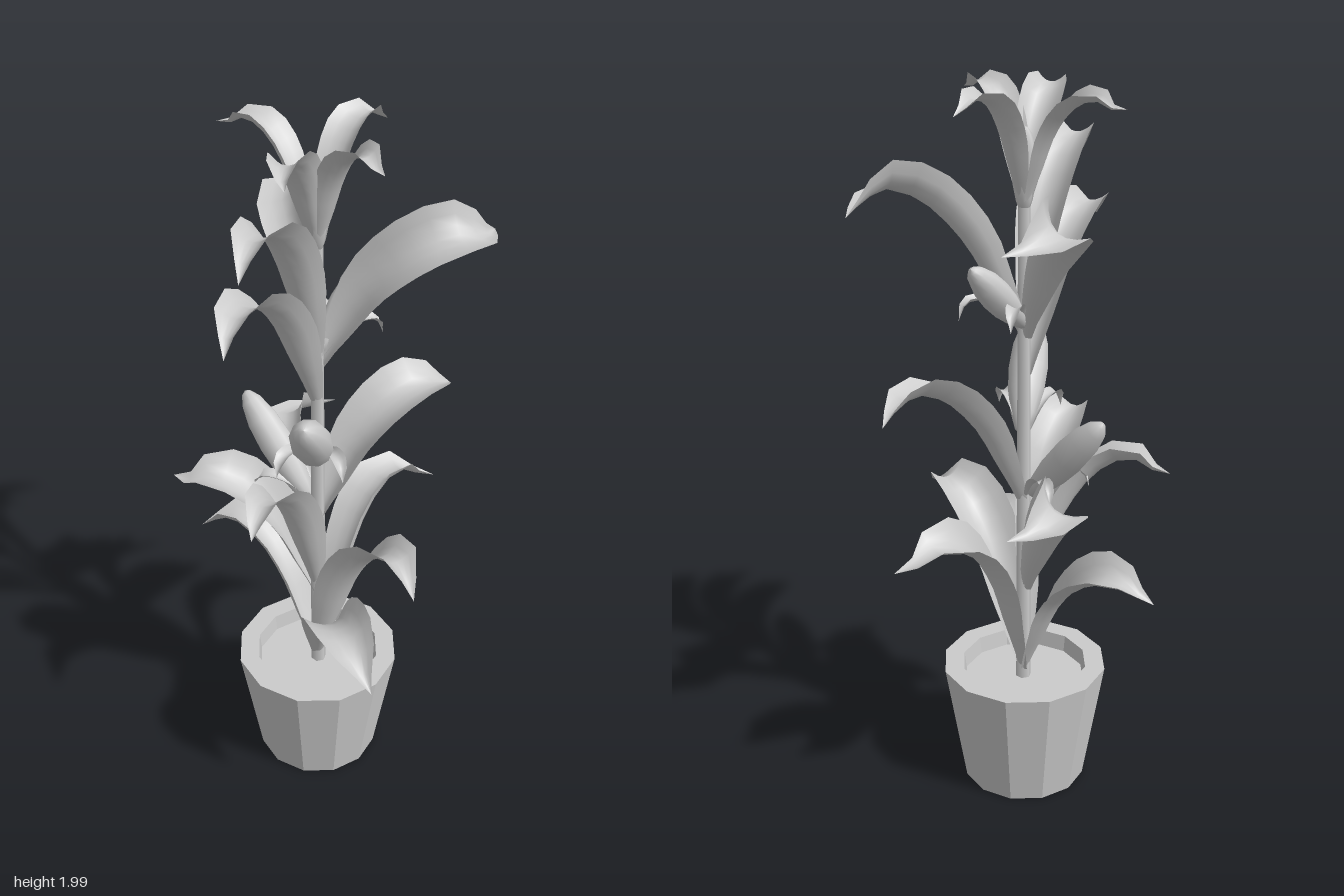
import * as THREE from 'three';

const grey = new THREE.MeshStandardMaterial({ color: 0xcccccc });
const flat = new THREE.MeshStandardMaterial({ color: 0xcccccc, flatShading: true, side: THREE.DoubleSide });
const thin = new THREE.MeshStandardMaterial({ color: 0xcccccc, side: THREE.DoubleSide });
const AX = -0.016, AZ = -0.012; // stem axis

function add(parent, name, geometry, material) {
  const mesh = new THREE.Mesh(geometry, material);
  mesh.name = name;
  parent.add(mesh);
  return mesh;
}

// Trough-shaped leaf: rises from the stem, arches over and droops to a pointed tip.
// Midrib points are [reach, height, sideways sweep]; a swept leaf also rolls about its base-to-tip line.
const RIB = [[0, 0, 0], [0.06, 0.15, 0.04], [0.15, 0.35, 0.16], [0.29, 0.66, 0.42], [0.5, 0.91, 0.84], [0.72, 1, 1], [0.88, 0.93, 0.65]];
const WIDTHS = [0.25, 0.4, 0.55, 0.68, 0.8, 0.88, 0.94, 0.98, 1, 0.94, 0.68, 0.28, 0];

function leafGeometry(reach, height, droop, halfWidth, sweep, roll) {
  const points = RIB.map(([r, y, z]) => new THREE.Vector3(0.012 + r * (reach - 0.012), y * height, z * sweep));
  points.push(new THREE.Vector3(reach, height - droop, 0));
  const rib = new THREE.CatmullRomCurve3(points);
  const chord = new THREE.Vector3(reach, height - droop, 0).normalize();
  const across = 6, positions = [], index = [];
  WIDTHS.forEach((width, i) => {
    const u = i / (WIDTHS.length - 1);
    const t = rib.getTangentAt(u);
    const lean = new THREE.Vector3(-t.y, t.x, 0).applyAxisAngle(chord, roll);
    const side = t.clone().cross(lean).normalize();
    const up = side.clone().cross(t);
    for (let j = 0; j <= across; j++) {
      const s = (j / across) * 2 - 1;
      const p = rib.getPointAt(u)
        .addScaledVector(side, s * halfWidth * width)
        .addScaledVector(up, s * s * halfWidth * width * 0.62);
      positions.push(p.x, p.y, p.z);
      if (i > 0 && j > 0) {
        const d = i * (across + 1) + j, c = d - 1, b = d - across - 1, a = b - 1;
        index.push(a, b, d, a, d, c);
      }
    }
  });
  const geometry = new THREE.BufferGeometry();
  geometry.setAttribute('position', new THREE.Float32BufferAttribute(positions, 3));
  geometry.setIndex(index);
  geometry.computeVertexNormals();
  return geometry;
}

function addLeaf(parent, name, [tipX, tipZ, base, peak, tipY, halfWidth, sweep]) {
  const dx = tipX - AX, dz = tipZ - AZ;
  const roll = sweep * 7;
  const height = peak - halfWidth * (0.55 + 0.4 * Math.abs(Math.sin(roll))) - base;
  const droop = base + height - tipY;
  const leaf = add(parent, name, leafGeometry(Math.hypot(dx, dz), height, droop, halfWidth, sweep, roll), thin);
  leaf.position.set(AX, base, AZ);
  leaf.rotation.y = Math.atan2(-dz, dx);
}

// Closed spindle-shaped bud between two points
function addBud(parent, name, from, to, radius, sides) {
  const a = new THREE.Vector3(...from), dir = new THREE.Vector3(...to).sub(a);
  const length = dir.length();
  const profile = [[0, 0], [0.35, 0.03], [0.65, 0.16], [0.92, 0.36], [1, 0.55], [0.9, 0.75], [0.6, 0.91], [0.28, 0.98], [0, 1]]
    .map(([r, y]) => new THREE.Vector2(r * radius, y * length));
  const bud = add(parent, name, new THREE.LatheGeometry(profile, sides), grey);
  bud.position.copy(a);
  bud.quaternion.setFromUnitVectors(new THREE.Vector3(0, 1, 0), dir.normalize());
}

// tip x, tip z, base y, peak y, tip y, half width, sideways sweep
const LEAVES = [
  // lowest ring
  [0.418, 0.043, 0.34, 0.89, 0.785, 0.08, -0.045],
  [-0.054, 0.375, 0.36, 0.905, 0.8, 0.082, -0.03],
  [-0.24, 0.4, 0.34, 0.74, 0.61, 0.08, 0.025],
  [-0.106, -0.404, 0.34, 0.755, 0.65, 0.08, 0.03],
  // lower middle
  [-0.36, 0.09, 0.6, 1.1, 1.02, 0.07, 0.02],
  [-0.26, -0.325, 0.58, 1.04, 0.96, 0.08, -0.035],
  [0.325, -0.27, 0.6, 1.04, 0.95, 0.075, -0.11],
  [0.38, 0.108, 0.86, 1.265, 1.16, 0.078, 0.04],
  // upper middle
  [-0.418, 0.086, 1.23, 1.685, 1.58, 0.07, 0.025],
  [-0.38, 0.104, 1.37, 1.865, 1.765, 0.07, 0.015],
  [0.363, 0.233, 1.35, 1.785, 1.675, 0.076, 0.1],
  [0.33, -0.26, 1.34, 1.755, 1.66, 0.075, -0.115],
  // crown
  [-0.235, 0.104, 1.68, 1.995, 1.935, 0.053, 0.02],
  [0.232, -0.014, 1.68, 1.995, 1.93, 0.053, -0.01],
  [-0.047, 0.228, 1.68, 2, 1.95, 0.053, 0],
  [-0.083, -0.28, 1.68, 1.99, 1.94, 0.053, 0.02],
];

// base and tip of each side bud
const BUDS = [
  [[-0.01, 1.37, -0.02], [0.19, 1.56, -0.025], 0.042],
  [[-0.02, 1.06, 0], [-0.22, 1.315, 0.14], 0.054],
  [[-0.02, 0.89, -0.03], [-0.035, 1.155, -0.27], 0.048],
];

export function createModel() {
  const model = new THREE.Group();
  model.name = 'pottedPlant';

  // Twelve-sided tapered pot with a thick rim
  const potProfile = [[0, 0], [0.175, 0], [0.234, 0.36], [0.178, 0.36], [0.172, 0.31]]
    .map(([r, y]) => new THREE.Vector2(r, y));
  const pot = add(model, 'pot', new THREE.LatheGeometry(potProfile, 12), flat);
  pot.position.set(-0.02, 0, AZ);

  const soil = add(model, 'soil', new THREE.CircleGeometry(0.173, 12), grey);
  soil.rotation.x = -Math.PI / 2;
  soil.position.set(-0.02, 0.312, AZ);

  const stem = add(model, 'stem', new THREE.CylinderGeometry(0.016, 0.022, 1.44, 6), grey);
  stem.position.set(AX, 1.02, AZ);

  addBud(model, 'crownBud', [AX, 1.66, AZ], [AX, 1.88, AZ], 0.034, 6);

  const leaves = new THREE.Group();
  leaves.name = 'leaves';
  LEAVES.forEach((leaf) => addLeaf(leaves, 'leaf', leaf));
  model.add(leaves);

  // Side buds, each with a pair of small leaves spreading below it
  BUDS.forEach(([from, to, radius]) => {
    const shoot = new THREE.Group();
    shoot.name = 'sideShoot';
    addBud(shoot, 'bud', from, to, radius, 10);
    const angle = Math.atan2(to[2] - AZ, to[0] - AX);
    for (const side of [-1, 1]) {
      const a = angle + side * 0.5, y = from[1];
      addLeaf(shoot, 'smallLeaf', [AX + Math.cos(a) * 0.18, AZ + Math.sin(a) * 0.18, y - 0.01, y + 0.09, y + 0.03, 0.02, 0]);
    }
    model.add(shoot);
  });

  return model;
}
